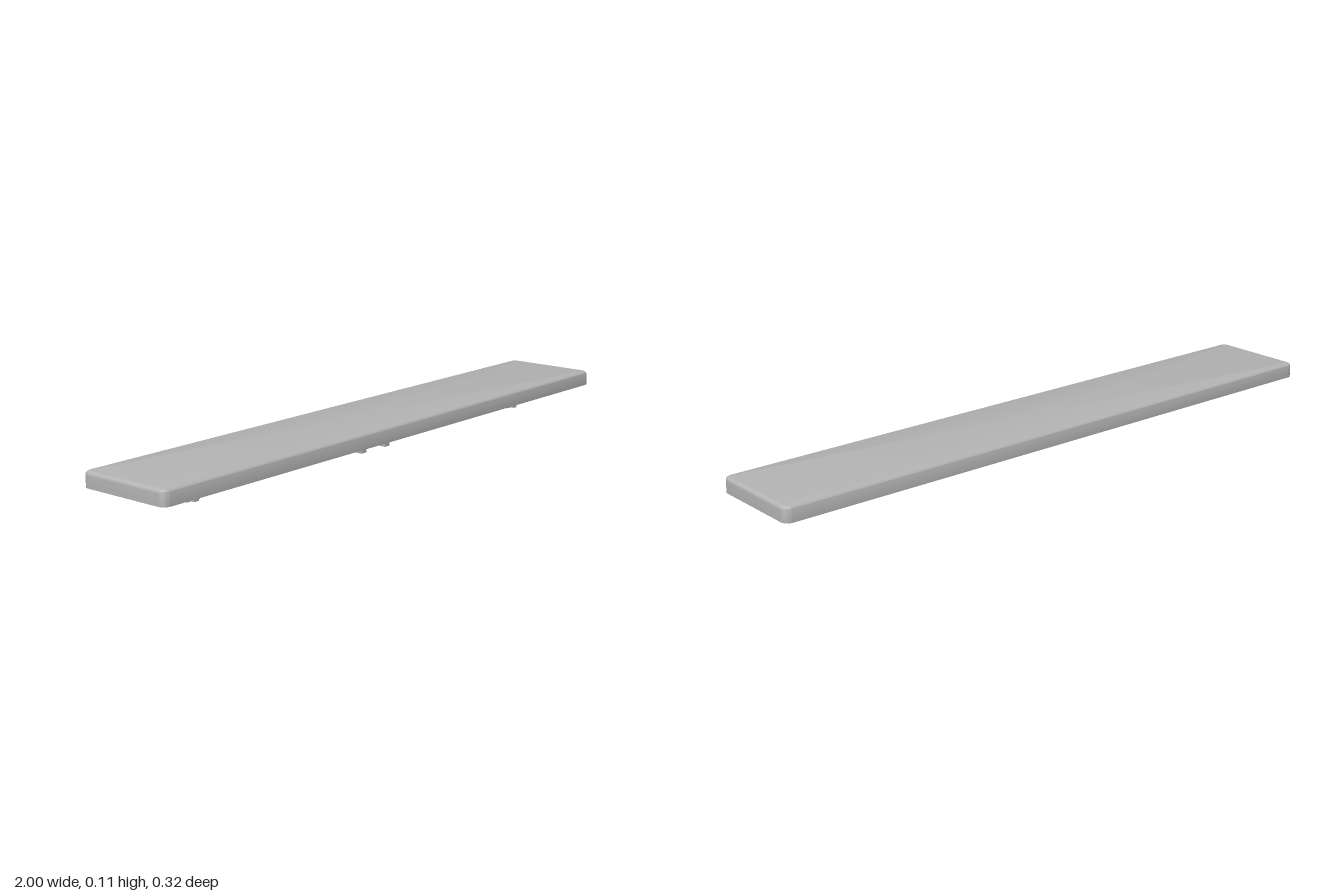
import * as THREE from 'three';
import { toCreasedNormals } from 'three/addons/utils/BufferGeometryUtils.js';

const HALF_X = 1, HALF_Z = 0.158;
const BOTTOM = 0.061, TOP = 0.108, FLOOR = 0.082;
const CORNER = 0.022, FILLET = 0.012, WALL = 0.026;
const STEPS = 6;

// Rounded rectangle outline, pulled in by inset, at height y
function ring(inset, y) {
  const r = Math.max(CORNER - inset, 0.008);
  const cx = HALF_X - inset - r, cz = HALF_Z - inset - r;
  const points = [];
  [[1, 1], [-1, 1], [-1, -1], [1, -1]].forEach(([sx, sz], q) => {
    for (let i = 0; i <= STEPS; i++) {
      const a = (q + i / STEPS) * Math.PI / 2;
      points.push([sx * cx + r * Math.cos(a), y, sz * cz + r * Math.sin(a)]);
    }
  });
  return points;
}

// Hollow cap lofted from the recess floor, over the rim, to the top
function capGeometry() {
  const rings = [ring(WALL, FLOOR), ring(WALL, BOTTOM), ring(0, BOTTOM)];
  for (let i = 0; i <= 5; i++) {
    const a = i / 5 * Math.PI / 2;
    rings.push(ring(FILLET * (1 - Math.cos(a)), TOP - FILLET + FILLET * Math.sin(a)));
  }
  const n = rings[0].length, last = (rings.length - 1) * n;
  const floorCentre = rings.length * n, topCentre = floorCentre + 1;
  const positions = [...rings.flat(2), 0, FLOOR, 0, 0, TOP, 0];
  const index = [];
  for (let j = 0; j < n; j++) {
    const k = (j + 1) % n;
    for (let i = 0; i < rings.length - 1; i++) {
      const a = i * n + j, b = i * n + k;
      index.push(a, a + n, b, b, a + n, b + n);
    }
    index.push(floorCentre, j, k);
    index.push(topCentre, last + k, last + j);
  }
  const geometry = new THREE.BufferGeometry();
  geometry.setAttribute('position', new THREE.Float32BufferAttribute(positions, 3));
  geometry.setIndex(index);
  return toCreasedNormals(geometry, 0.6);
}

// Plus-shaped post standing from y = 0 into the recess
function crossGeometry(hx, hz, t, height) {
  const outline = [
    [hx, -t], [hx, t], [t, t], [t, hz], [-t, hz], [-t, t],
    [-hx, t], [-hx, -t], [-t, -t], [-t, -hz], [t, -hz], [t, -t],
  ].map(([x, z]) => new THREE.Vector2(x, z));
  const geometry = new THREE.ExtrudeGeometry(new THREE.Shape(outline), { depth: height, bevelEnabled: false });
  return geometry.rotateX(-Math.PI / 2);
}

export function createModel() {
  const group = new THREE.Group();
  group.name = 'barKeyCap';
  const grey = new THREE.MeshStandardMaterial({ color: 0xb3b3b3 });
  grey.name = 'grey plastic';

  const add = (name, geometry, x = 0, y = 0) => {
    const mesh = new THREE.Mesh(geometry, grey);
    mesh.name = name;
    mesh.position.set(x, y, 0);
    group.add(mesh);
  };

  add('cap', capGeometry());

  // Centre prongs and outer posts, mirrored in x
  const postHeight = FLOOR + 0.004;
  const prong = new THREE.BoxGeometry(0.023, postHeight, 0.057);
  const cross = crossGeometry(0.025, 0.021, 0.0085, postHeight);
  for (const [side, s] of [['left', 1], ['right', -1]]) {
    add(side + 'Prong', prong, s * 0.056, postHeight / 2);
    add(side + 'CrossPost', cross, s * 0.754);
  }
  return group;
}
